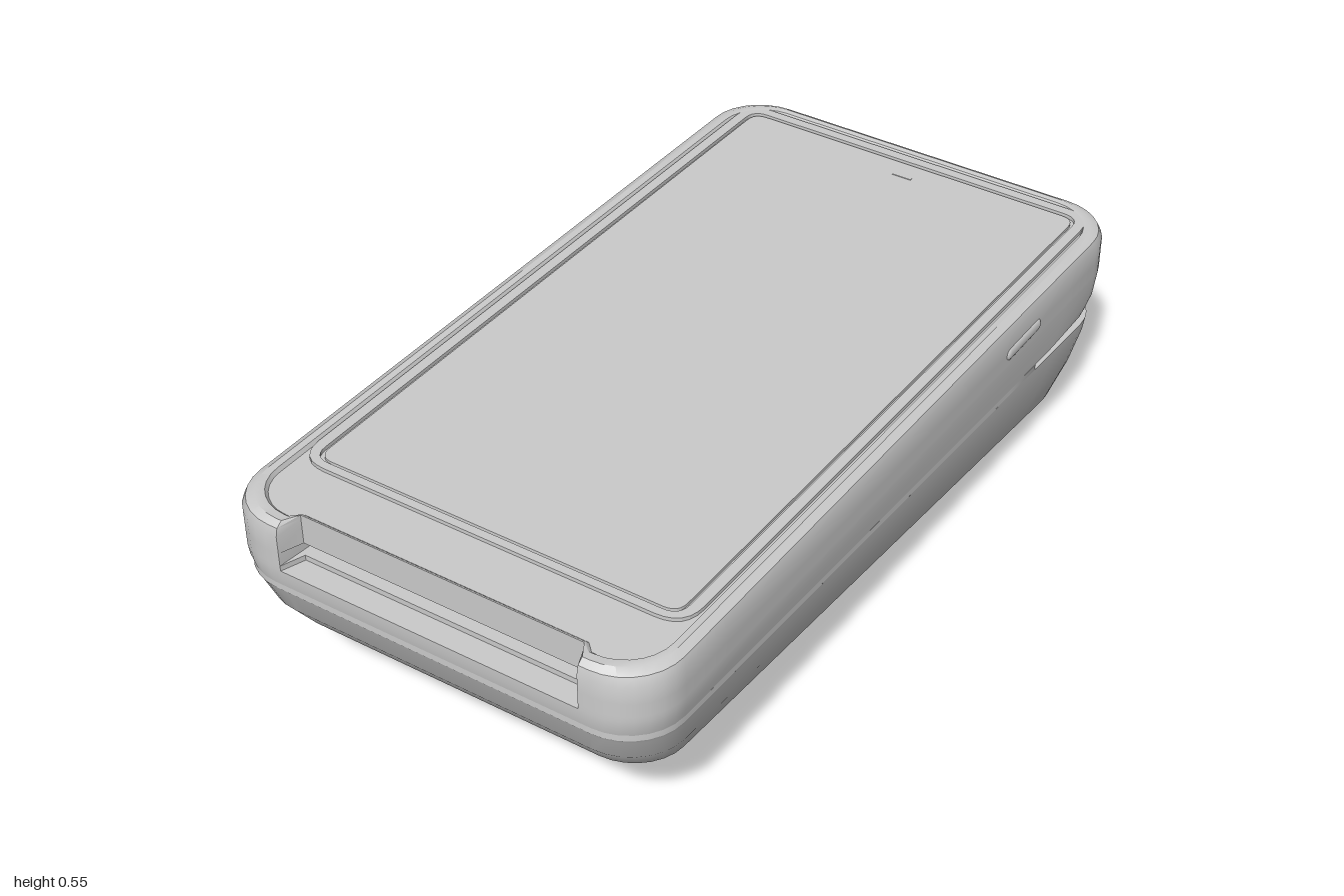
import * as THREE from 'three';
import { toCreasedNormals } from 'three/addons/utils/BufferGeometryUtils.js';

const grey = new THREE.MeshStandardMaterial({ color: 0xcccccc });

// Half outline runs from the front centre round the +x side to the back centre, then is mirrored.
// fn / bn: depth of a cut-out in the middle of the front / back edge.
function ring({ hw, zf, yf, zb, yb, r = 0.13, rb = r, fn = zf, bn = zb, lift = 0 }) {
  const nx = Math.min(0.365, hw - r), bx = 0.1;
  const half = [[nx - 0.02, fn], [nx, zf]];
  const arc = (cz, rad, a0) => {
    for (let i = 0; i <= 7; i++) {
      const a = a0 + (i / 7) * Math.PI / 2;
      half.push([hw - rad + rad * Math.sin(a), cz + rad * Math.cos(a)]);
    }
  };
  arc(zf - r, r, 0);
  for (let i = 1; i < 12; i++) half.push([hw, THREE.MathUtils.lerp(zf - r, zb + rb, i / 12)]);
  arc(zb + rb, rb, Math.PI / 2);
  half.push([bx, zb], [bx - 0.03, bn]);
  const all = [...half, ...half.slice().reverse().map(([x, z]) => [-x, z])];
  return all.map(([x, z]) => {
    const y = yb + (yf - yb) * (z - zb) / (zf - zb);
    return new THREE.Vector3(x, y + lift * Math.max(0, -0.61 - z) ** 2, z);
  });
}

// Skin a stack of rings from bottom to top and close both ends
function loft(name, specs) {
  const rings = specs.map(ring), pos = [], n = rings[0].length;
  const tri = (a, b, c) => {
    const area = b.clone().sub(a).cross(c.clone().sub(a)).length();
    if (area > 1e-9) for (const p of [a, b, c]) pos.push(p.x, p.y, p.z);
  };
  for (let k = 0; k + 1 < rings.length; k++) {
    const a = rings[k], b = rings[k + 1];
    for (let i = 0; i < n; i++) {
      const j = (i + 1) % n;
      tri(a[i], a[j], b[j]);
      tri(a[i], b[j], b[i]);
    }
  }
  const cap = (pts, up) => {
    const flat = pts.map(p => new THREE.Vector2(p.x, -p.z));
    for (const [a, b, c] of THREE.ShapeUtils.triangulateShape(flat, []))
      up ? tri(pts[a], pts[b], pts[c]) : tri(pts[a], pts[c], pts[b]);
  };
  cap(rings[0], false);
  cap(rings.at(-1), true);
  const geo = new THREE.BufferGeometry();
  geo.setAttribute('position', new THREE.Float32BufferAttribute(pos, 3));
  return part(name, toCreasedNormals(geo, 0.6));
}

function part(name, geo, x = 0, y = 0, z = 0) {
  const m = new THREE.Mesh(geo, grey);
  m.name = name;
  m.position.set(x, y, z);
  return m;
}

// Rounded rectangle, centred on x = 0, with shape y standing for z
function roundRect(w, z0, z1, r, Type = THREE.Shape) {
  const s = new Type();
  s.moveTo(-w + r, z0);
  s.lineTo(w - r, z0);
  s.quadraticCurveTo(w, z0, w, z0 + r);
  s.lineTo(w, z1 - r);
  s.quadraticCurveTo(w, z1, w - r, z1);
  s.lineTo(-w + r, z1);
  s.quadraticCurveTo(-w, z1, -w, z1 - r);
  s.lineTo(-w, z0 + r);
  s.quadraticCurveTo(-w, z0, -w + r, z0);
  return s;
}

// Flat slab hanging down from its local y = 0
const slab = (shape, depth) =>
  new THREE.ExtrudeGeometry(shape, { depth, bevelEnabled: false, curveSegments: 6 }).rotateX(Math.PI / 2);

export function createModel() {
  const model = new THREE.Group();
  model.name = 'handheldTerminal';

  // Lower shell, with a finger scoop at the back of the underside
  const lowTop = { hw: 0.518, zf: 0.995, yf: 0.38, zb: -0.97, yb: 0.282 };
  const chin = { hw: 0.425, zf: 0.87, yf: 0.2, zb: -0.8, yb: 0.03, r: 0.1 };
  model.add(loft('lowerShell', [
    { hw: 0.345, zf: 0.78, yf: 0.174, zb: -0.66, yb: 0.005, r: 0.07, bn: -0.5 },
    { ...chin, bn: -0.52 },
    chin,
    { hw: 0.475, zf: 0.925, yf: 0.245, zb: -0.88, yb: 0.085, r: 0.12 },
    { hw: 0.5, zf: 0.967, yf: 0.305, zb: -0.935, yb: 0.17 },
    { hw: 0.515, zf: 0.99, yf: 0.37, zb: -0.965, yb: 0.25 },
    lowTop,
  ]));

  // Solid core ahead of the rear card slit
  model.add(loft('shellJoiner', [
    { hw: 0.518, zf: 0.995, yf: 0.38, zb: -0.61, yb: 0.3, rb: 0.01 },
    { hw: 0.518, zf: 0.995, yf: 0.395, zb: -0.61, yb: 0.315, rb: 0.01 },
  ]));

  // Upper shell: front recess, paper slot and raised rim
  const side = { hw: 0.525, zf: 1, zb: -0.997 };
  const lip = 0.945, deep = 0.8;
  model.add(loft('upperShell', [
    { hw: 0.518, zf: 0.995, yf: 0.395, zb: -0.955, yb: 0.298, lift: 0.26 },
    { hw: 0.522, zf: 0.999, yf: 0.415, zb: -0.985, yb: 0.345 },
    { ...side, yf: 0.437, yb: 0.4 },
    { ...side, yf: 0.437, yb: 0.4, fn: lip },
    { ...side, yf: 0.45, yb: 0.41, fn: lip },
    { ...side, yf: 0.45, yb: 0.41, fn: deep },
    { ...side, yf: 0.482, yb: 0.44, fn: deep },
    { ...side, yf: 0.482, yb: 0.44, fn: lip },
    { ...side, yf: 0.525, yb: 0.485, fn: lip },
    { hw: 0.518, zf: 0.995, yf: 0.545, zb: -0.99, yb: 0.505, fn: lip },
    { hw: 0.5, zf: 0.98, yf: 0.555, zb: -0.973, yb: 0.514, r: 0.12, fn: lip },
    { hw: 0.485, zf: 0.96, yf: 0.553, zb: -0.96, yb: 0.512, r: 0.11, fn: 0.94 },
    { hw: 0.48, zf: 0.95, yf: 0.543, zb: -0.955, yb: 0.503, r: 0.1, fn: 0.93 },
  ]));

  // Serrated cutter inside the paper slot
  const cutter = new THREE.Group();
  cutter.name = 'paperCutter';
  cutter.add(part('cutterBar', new THREE.BoxGeometry(0.66, 0.01, 0.06), 0, 0.456, 0.88));
  for (let i = 0; i < 12; i++)
    cutter.add(part('cutterTooth', new THREE.BoxGeometry(0.035, 0.014, 0.02), -0.3025 + i * 0.055, 0.466, 0.9));
  model.add(cutter);

  // Screen and its frame, following the slope of the top
  const top = new THREE.Group();
  top.name = 'displayPanel';
  top.position.y = 0.523;
  top.rotation.x = -0.0206;
  const frame = roundRect(0.475, -0.95, 0.8, 0.07);
  frame.holes.push(roundRect(0.45, -0.925, 0.78, 0.04, THREE.Path));
  top.add(part('screenFrame', slab(frame, 0.02), 0, 0.009));
  top.add(part('screen', slab(roundRect(0.442, -0.917, 0.772, 0.035), 0.02), 0, 0.007));
  top.add(part('earpiece', new THREE.BoxGeometry(0.05, 0.004, 0.008), 0.01, 0.007, -0.86));
  model.add(top);

  // Underside plate, notched round the scoop, with feet and a bar
  const base = new THREE.Group();
  base.name = 'underside';
  base.position.y = 0.0825;
  base.rotation.x = -0.1168;
  const plate = new THREE.Shape([
    [-0.29, 0.73], [-0.32, 0.7], [-0.32, -0.63], [-0.3, -0.65], [-0.1, -0.65], [-0.075, -0.5],
    [0.075, -0.5], [0.1, -0.65], [0.3, -0.65], [0.32, -0.63], [0.32, 0.7], [0.29, 0.73],
  ].map(([x, z]) => new THREE.Vector2(x, z)));
  base.add(part('basePlate', slab(plate, 0.009), 0, 0.005));
  for (const x of [-0.25, 0.25]) for (const z of [0.65, -0.56])
    base.add(part('foot', new THREE.CylinderGeometry(0.04, 0.036, 0.012, 20), x, -0.002, z));
  base.add(part('baseBar', new THREE.CapsuleGeometry(0.018, 0.24, 4, 10).rotateZ(Math.PI / 2), 0, 0, 0.5));
  model.add(base);

  // Side buttons and rear port
  const key = part('sideKey', new THREE.CapsuleGeometry(0.016, 0.13, 4, 12).rotateX(Math.PI / 2), 0.523, 0.445, -0.51);
  key.scale.x = 0.5;
  model.add(key);
  model.add(part('roundButton', new THREE.TorusGeometry(0.022, 0.006, 8, 24).rotateY(Math.PI / 2), -0.523, 0.42, -0.6));
  const port = part('rearPort', new THREE.TorusGeometry(0.022, 0.005, 8, 28), 0, 0.42, -0.995);
  port.scale.set(2, 1, 1);
  model.add(port);

  return model;
}
